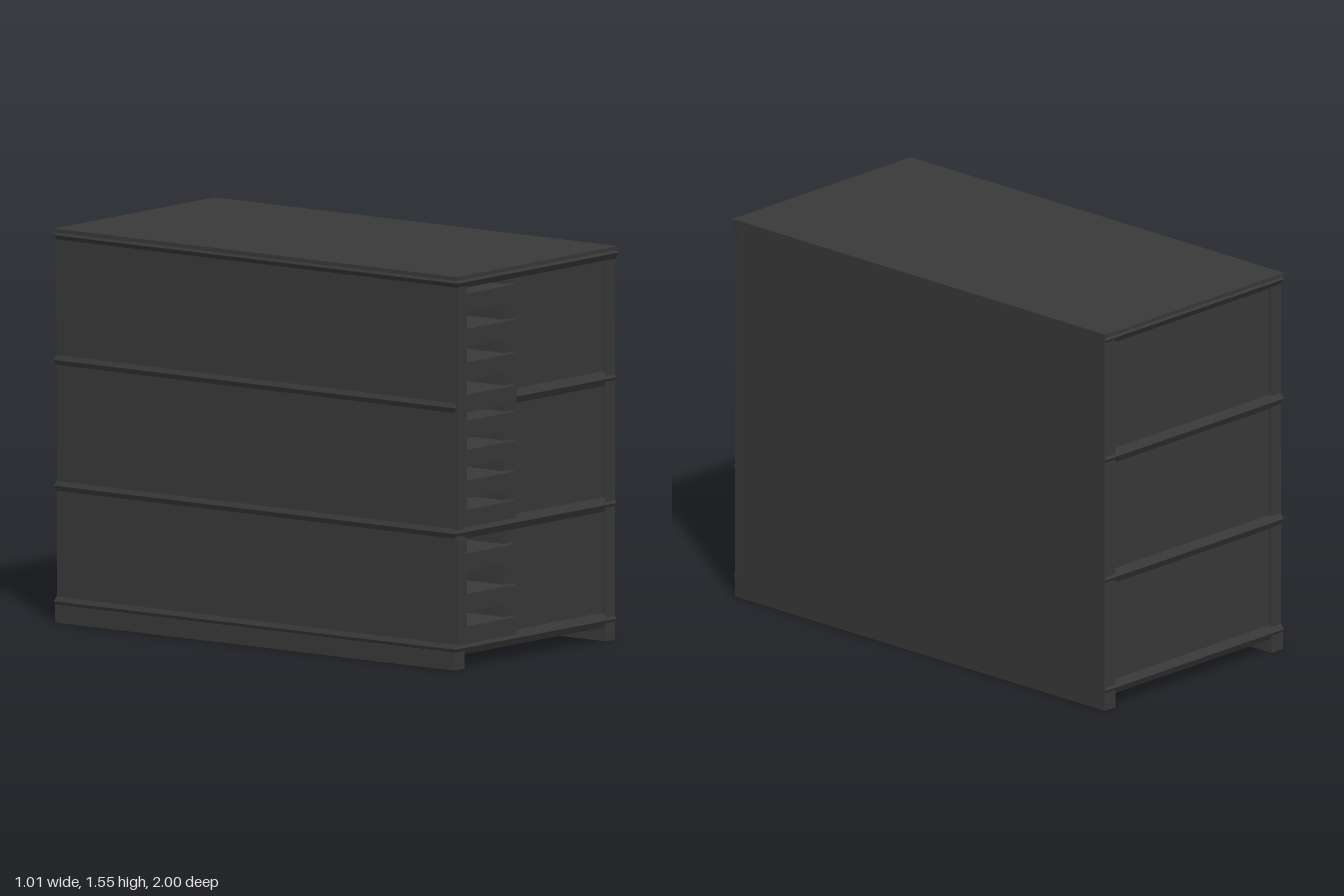
import * as THREE from 'three';

const material = new THREE.MeshStandardMaterial({ color: 0x3a3a3a, flatShading: true });

export function createModel() {
  const model = new THREE.Group();

  // Box given by its limits on each axis
  function box(name, [x0, x1], [y0, y1], [z0, z1], parent = model) {
    const mesh = new THREE.Mesh(new THREE.BoxGeometry(x1 - x0, y1 - y0, z1 - z0), material);
    mesh.position.set((x0 + x1) / 2, (y0 + y1) / 2, (z0 + z1) / 2);
    mesh.name = name;
    parent.add(mesh);
    return mesh;
  }

  // Slab whose front, back and left rims come to a shallow ridge
  function shelf(name, y0, y1, zFront) {
    const mesh = box(name, [-0.51, 0.5], [y0, y1], [-1, zFront]);
    mesh.geometry.dispose();
    mesh.geometry = new THREE.BoxGeometry(1.01, y1 - y0, zFront + 1, 1, 2, 1);
    const p = mesh.geometry.attributes.position;
    for (let i = 0; i < p.count; i++) {
      if (Math.abs(p.getY(i)) < 0.001) continue;
      p.setZ(i, p.getZ(i) - Math.sign(p.getZ(i)) * 0.012);
      if (p.getX(i) < 0) p.setX(i, p.getX(i) + 0.01);
    }
    mesh.geometry.computeVertexNormals();
  }

  // Outer walls, top and runners
  box('rightSidePanel', [0.44, 0.5], [0, 1.545], [-0.995, 0.985]);
  box('leftSidePanel', [-0.503, -0.445], [0.08, 1.52], [-0.99, 0.985]);
  box('leftRunner', [-0.51, -0.445], [0, 0.07], [-0.995, 0.985]);
  box('sideStrip', [0.499, 0.505], [0.107, 1.507], [0.94, 0.97]);
  shelf('topRim', 1.5, 1.548, 1);
  box('topPanel', [-0.51, 0.5], [1.535, 1.55], [-1, 0.998]);

  // Three tiers: shelf, back panel, front panel and fingered left column
  const tiers = [
    { y: 0.055, top: 0.51, bars: [0.099, 0.226, 0.386] },
    { y: 0.51, top: 1.005, bars: [0.558, 0.673, 0.793, 0.908] },
    { y: 1.005, top: 1.5, bars: [1.01, 1.138, 1.269, 1.409] },
  ];
  tiers.forEach(({ y, top, bars }) => {
    shelf('shelf', y, y + 0.055, 0.99);
    box('backPanel', [-0.45, 0.445], [y + 0.04, top + 0.01], [-0.98, -0.96]);
    box('frontPanel', [-0.17, 0.445], [y + 0.04, top + 0.01], [0.78, 0.965]);
    box('pocketBack', [-0.45, -0.16], [y + 0.04, top + 0.01], [0.76, 0.78]);
    const comb = new THREE.Group();
    comb.name = 'fingeredColumn';
    model.add(comb);
    box('column', [-0.5, -0.445], [bars[0], top + 0.005], [0.96, 0.997], comb);
    bars.forEach((b) => {
      box('finger', [-0.447, -0.135], [b, b + 0.069], [0.96, 0.997], comb);
      box('fingerShelf', [-0.447, -0.169], [b, b + 0.069], [0.78, 0.961], comb);
    });
  });

  return model;
}
